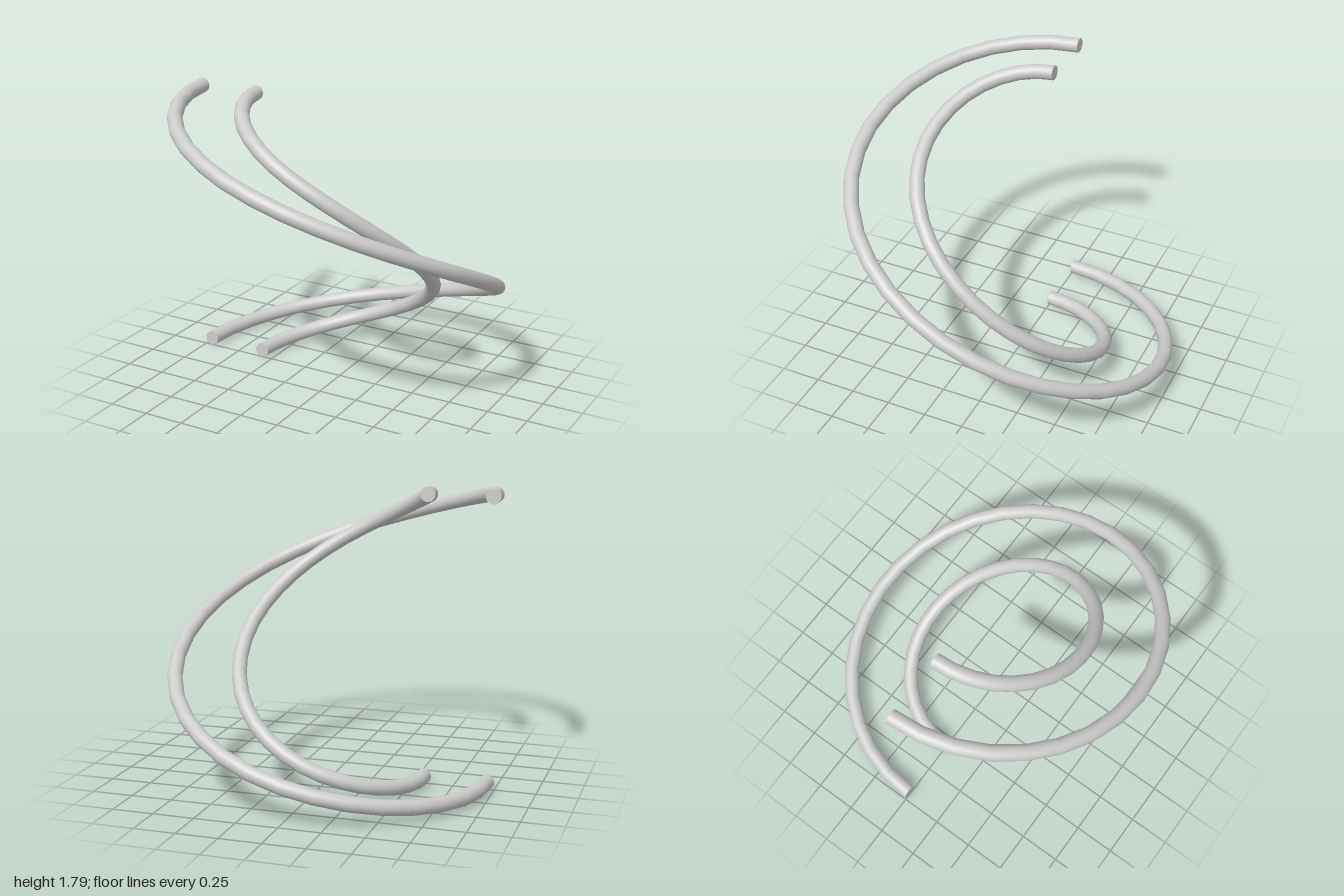
import * as THREE from 'three';

const TUBE_RADIUS = 0.045;
const SEGMENTS = 32;
const SIDES = 24;

// Rail height and climb rate at each quarter of the turn
const HEIGHTS = [0.05, 0.225, 0.82, 1.45, 1.747];
const CLIMB = [-0.03, 0.39, 0.72, 0.48, 0.03];

function heightAt(t) {
  const i = Math.min(3, Math.floor(t * 4));
  const s = t * 4 - i, s2 = s * s, s3 = s2 * s;
  return HEIGHTS[i] * (2 * s3 - 3 * s2 + 1) + CLIMB[i] * (s3 - 2 * s2 + s)
    + HEIGHTS[i + 1] * (3 * s2 - 2 * s3) + CLIMB[i + 1] * (s3 - s2);
}

// One full turn, starting at the right side and climbing round the back
class RailCurve extends THREE.Curve {
  constructor(radius) {
    super();
    this.radius = radius;
  }
  getPoint(t, target = new THREE.Vector3()) {
    const a = t * Math.PI * 2;
    return target.set(-Math.cos(a) * this.radius, heightAt(t), -Math.sin(a) * this.radius);
  }
  // Even steps of angle rather than of length
  getPointAt(t, target) { return this.getPoint(t, target); }
  getTangentAt(t, target) { return this.getTangent(t, target); }
}

function createRail(name, radius, material) {
  const rail = new THREE.Group();
  rail.name = name;
  const curve = new RailCurve(radius);

  const tube = new THREE.Mesh(
    new THREE.TubeGeometry(curve, SEGMENTS, TUBE_RADIUS, SIDES, false), material);
  tube.name = name + 'Tube';
  rail.add(tube);

  // Flat discs closing both ends
  for (const [t, sign, label] of [[0, -1, 'LowerCap'], [1, 1, 'UpperCap']]) {
    const cap = new THREE.Mesh(new THREE.CircleGeometry(TUBE_RADIUS, SIDES), material);
    cap.name = name + label;
    const outward = curve.getTangent(t).multiplyScalar(sign);
    cap.position.copy(curve.getPoint(t));
    cap.quaternion.setFromUnitVectors(new THREE.Vector3(0, 0, 1), outward);
    rail.add(cap);
  }
  return rail;
}

export function createModel() {
  const model = new THREE.Group();
  model.name = 'spiralRails';
  const material = new THREE.MeshStandardMaterial({ color: 0xcccccc, side: THREE.DoubleSide });
  model.add(createRail('outerRail', 0.955, material));
  model.add(createRail('innerRail', 0.57, material));
  return model;
}
